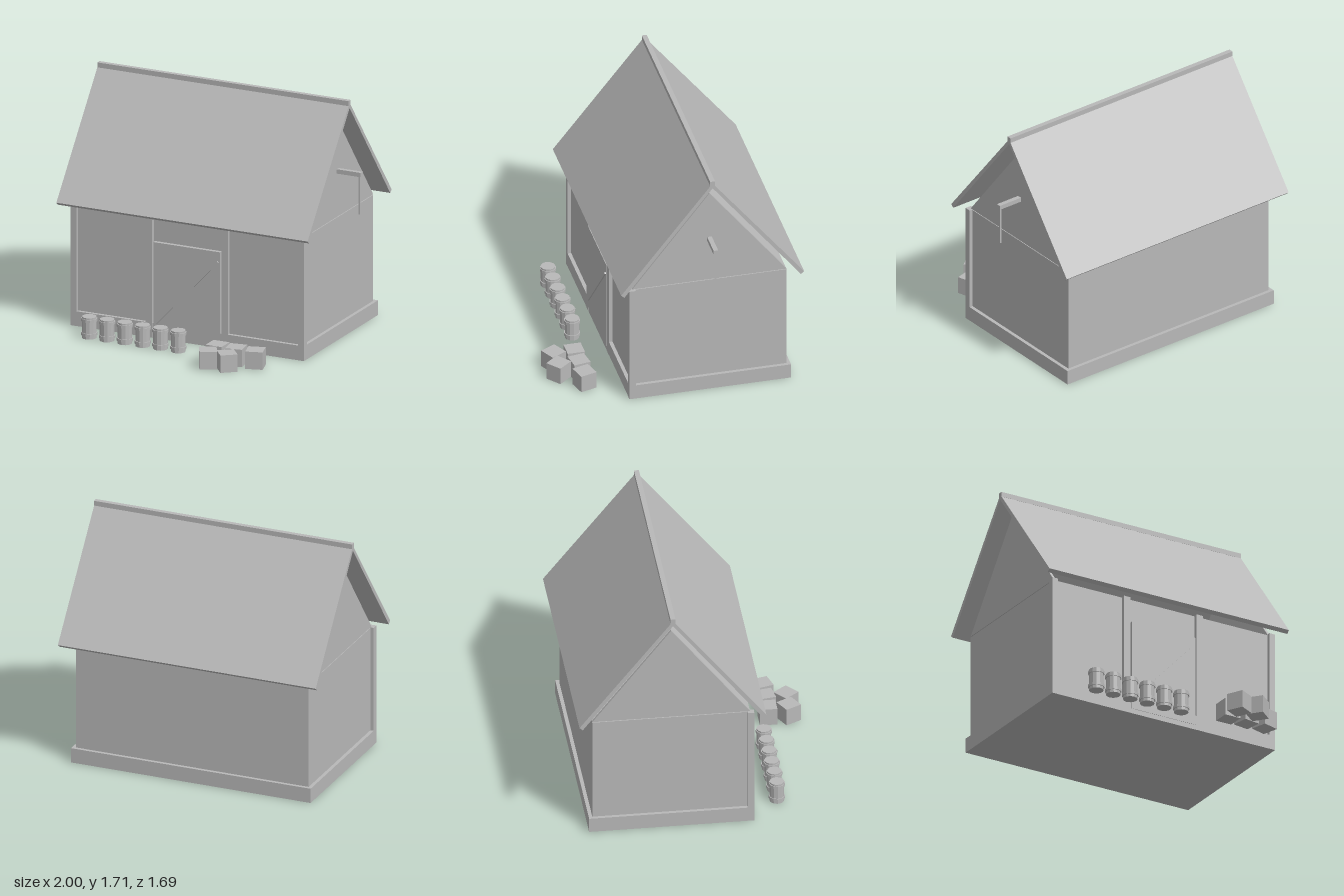
import * as THREE from 'three';

export function createModel() {
  const model = new THREE.Group();
  model.name = 'barn';
  const grey = new THREE.MeshStandardMaterial({ color: 0xb8b8b8, flatShading: true });
  grey.name = 'plain grey';
  const midZ = -0.205; // ridge line of the building

  const add = (name, geometry, parent = model) => {
    const mesh = new THREE.Mesh(geometry, grey);
    mesh.name = name;
    parent.add(mesh);
    return mesh;
  };
  // box given by its limits on each axis
  const box = (name, x0, x1, y0, y1, z0, z1) => {
    const mesh = add(name, new THREE.BoxGeometry(x1 - x0, y1 - y0, z1 - z0));
    mesh.position.set((x0 + x1) / 2, (y0 + y1) / 2, (z0 + z1) / 2);
    return mesh;
  };
  // outline in (z from the ridge, y), extruded along x
  const slabAlongX = (name, points, x0, x1) => {
    const shape = new THREE.Shape(points.map(([z, y]) => new THREE.Vector2(z, y)));
    const geometry = new THREE.ExtrudeGeometry(shape, { depth: x1 - x0, bevelEnabled: false });
    geometry.rotateY(-Math.PI / 2); // outline x becomes z, depth becomes -x
    geometry.translate(x1, 0, midZ);
    return add(name, geometry);
  };

  // base and walls
  box('plinth', -0.93, 0.84, 0, 0.105, -0.77, 0.36);
  box('walls', -0.905, 0.815, 0.1, 0.86, -0.745, 0.335);

  // front posts
  for (const [x0, x1] of [[-0.93, -0.885], [-0.36, -0.31], [0.215, 0.265], [0.795, 0.84]]) {
    box('frontPost', x0, x1, 0, 0.865, 0.315, 0.361);
  }

  // door with diagonal brace
  box('door', -0.3, 0.205, 0.035, 0.685, 0.33, 0.363);
  const from = new THREE.Vector2(-0.28, 0.11), to = new THREE.Vector2(0.19, 0.615);
  const brace = add('doorBrace', new THREE.BoxGeometry(from.distanceTo(to), 0.014, 0.012));
  brace.position.set((from.x + to.x) / 2, (from.y + to.y) / 2, 0.366);
  brace.rotation.z = to.clone().sub(from).angle();

  // gable plates at both ends, the loft between them open
  const gable = [[-0.54, 0.865], [0.54, 0.865], [0, 1.555]];
  slabAlongX('rightEndGable', gable, -0.905, -0.885);
  slabAlongX('leftEndGable', gable, 0.795, 0.815);

  // roof and ridge beam
  slabAlongX('roof', [
    [0, 1.69], [-0.64, 0.885], [-0.618, 0.865], [0, 1.652], [0.618, 0.865], [0.64, 0.885],
  ], -1, 0.905);
  box('ridgeBeam', -1, 0.905, 1.67, 1.705, midZ - 0.017, midZ + 0.017);

  // hoist on the gable
  box('hoistBeam', 0.8, 0.997, 1.175, 1.206, midZ - 0.016, midZ + 0.016);
  box('hoistRope', 0.974, 0.986, 0.905, 1.18, midZ - 0.006, midZ + 0.006);

  // row of barrels with two hoops each
  for (let i = 0; i < 6; i++) {
    const barrel = new THREE.Group();
    barrel.name = 'barrel';
    barrel.position.set(-0.695 + i * 0.135, 0, 0.546);
    add('barrelBody', new THREE.CylinderGeometry(0.05, 0.05, 0.152, 12), barrel).position.y = 0.076;
    for (const y of [0.03, 0.13]) {
      add('barrelHoop', new THREE.CylinderGeometry(0.056, 0.056, 0.02, 12), barrel).position.y = y;
    }
    model.add(barrel);
  }

  // crates: x, z, turn
  const crates = [
    [0.312, 0.615, 0], [0.455, 0.617, 0.16], [0.6, 0.615, 0.28],
    [0.312, 0.76, 0.48], [0.457, 0.76, 0.68],
  ];
  for (const [x, z, turn] of crates) {
    const crate = add('crate', new THREE.BoxGeometry(0.12, 0.124, 0.12));
    crate.position.set(x, 0.062, z);
    crate.rotation.y = turn;
  }
  return model;
}
